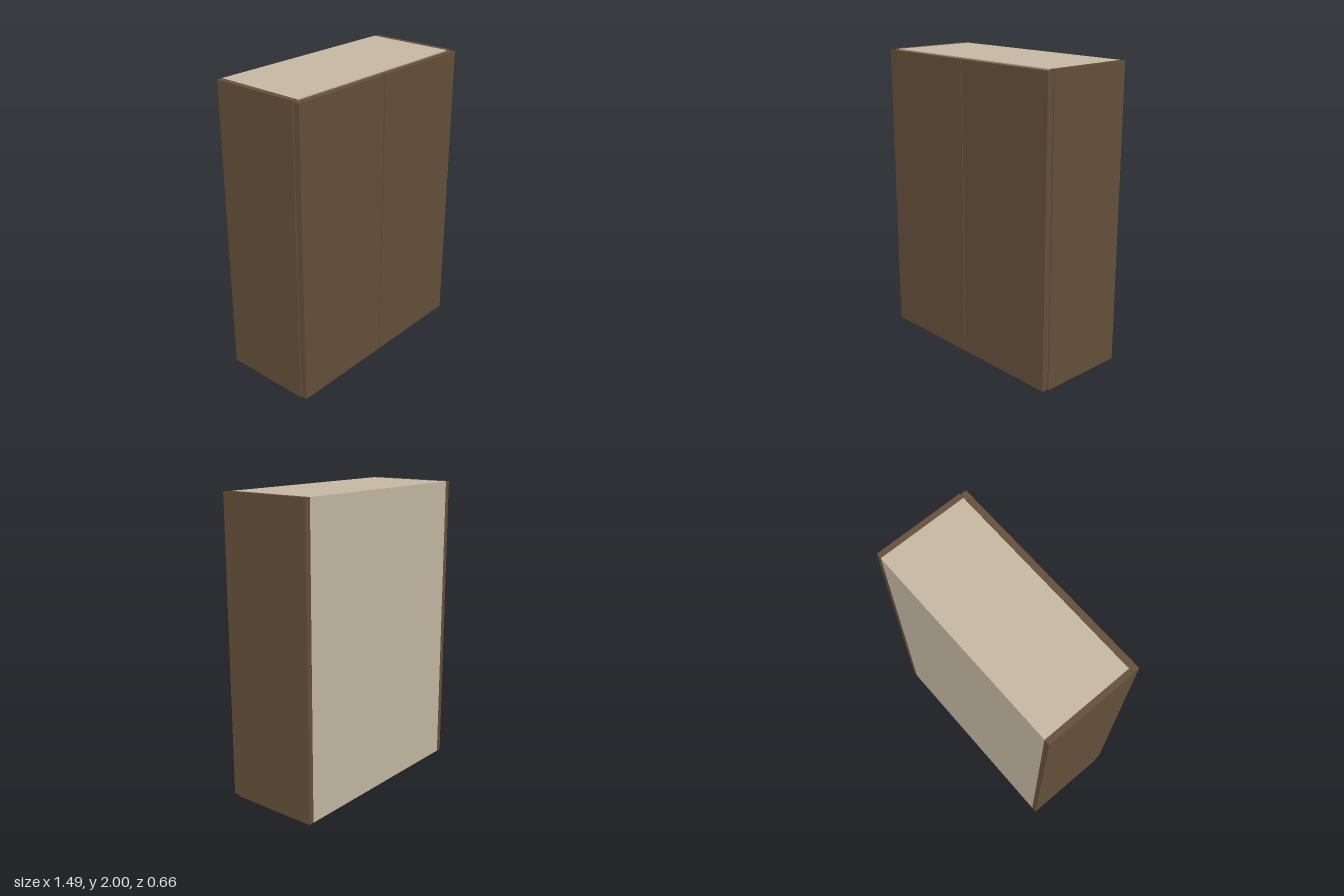
import * as THREE from 'three';

export function createModel() {
  const group = new THREE.Group();
  const wood = new THREE.MeshStandardMaterial({ color: 0x654f3a });
  wood.name = 'brown wood';
  const board = new THREE.MeshStandardMaterial({ color: 0xc4b8a3 });
  board.name = 'cream board';

  // Box panel given by its extents on each axis
  function panel(name, material, [x0, x1], [y0, y1], [z0, z1]) {
    const mesh = new THREE.Mesh(new THREE.BoxGeometry(x1 - x0, y1 - y0, z1 - z0), material);
    mesh.position.set((x0 + x1) / 2, (y0 + y1) / 2, (z0 + z1) / 2);
    mesh.name = name;
    group.add(mesh);
  }

  const W = 0.747, T = 0.038, inner = W - T;
  const back = -0.332, front = 0.285, backT = 0.02;

  // Mirrored side panels and doors
  for (const [side, s] of [['left', 1], ['right', -1]]) {
    const span = (a, b) => (s > 0 ? [a, b] : [-b, -a]);
    panel(side + 'SidePanel', wood, span(inner, W), [0, 2], [back, front]);
    panel(side + 'Door', wood, span(0.004, 0.742), [0.006, 1.994], [0.289, 0.332]);
  }

  // Carcass boards between the sides
  panel('topPanel', board, [-inner, inner], [2 - T, 2], [back, front]);
  panel('bottomPanel', board, [-inner, inner], [0, T], [back, front]);
  panel('backPanel', board, [-inner, inner], [T, 2 - T], [back, back + backT]);

  return group;
}
